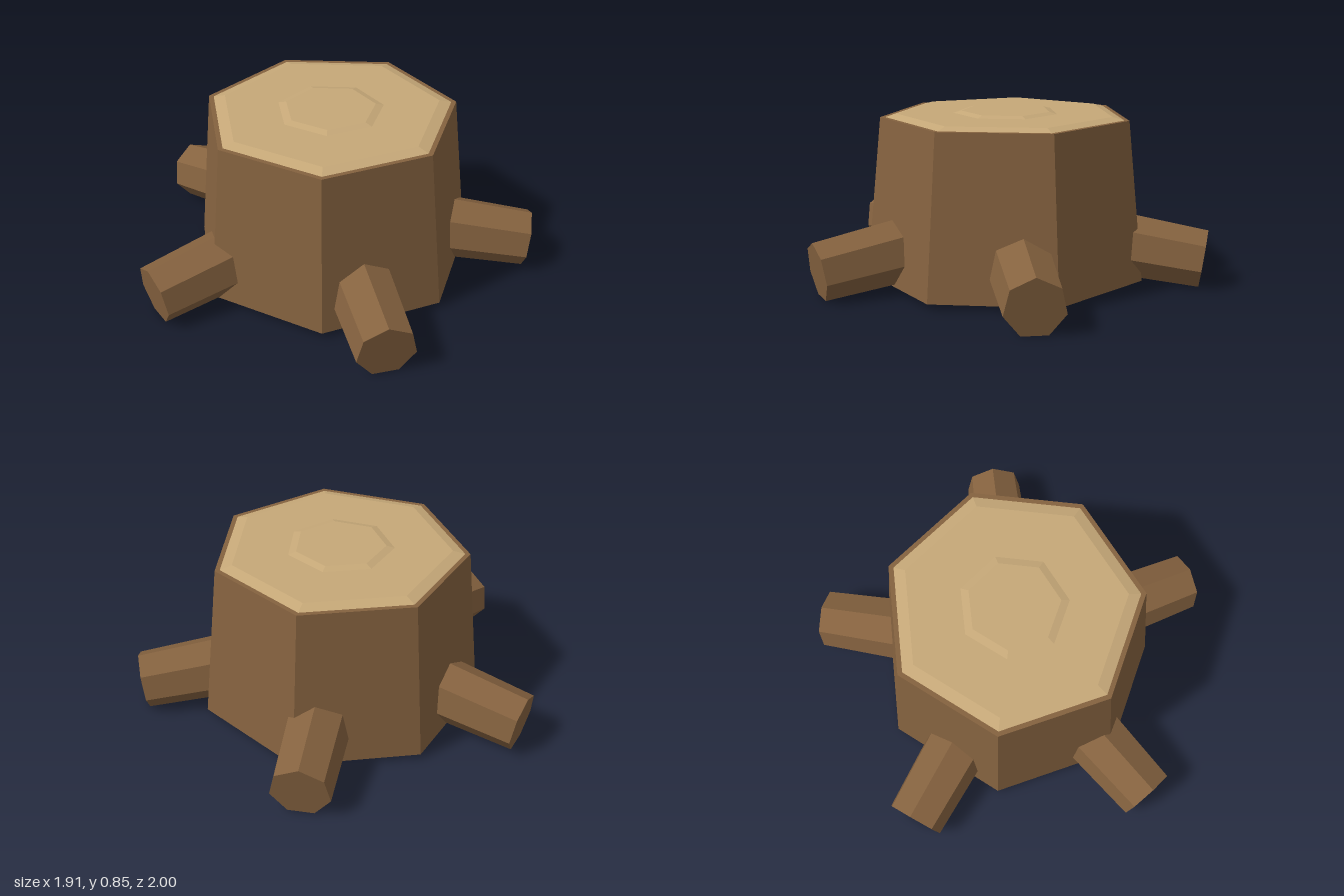
import * as THREE from 'three';

const SIDES = 7;

// Seven-sided tapered block standing between two heights
function frustum(name, rBottom, rTop, y0, y1, material) {
  const geometry = new THREE.CylinderGeometry(rTop, rBottom, y1 - y0, SIDES).toNonIndexed();
  geometry.computeVertexNormals();
  const mesh = new THREE.Mesh(geometry, material);
  mesh.name = name;
  mesh.position.y = (y0 + y1) / 2;
  return mesh;
}

export function createModel() {
  const bark = new THREE.MeshStandardMaterial({ color: 0x85623f });
  bark.name = 'bark brown';
  const wood = new THREE.MeshStandardMaterial({ color: 0xc6a878 });
  wood.name = 'cut wood tan';

  const model = new THREE.Group();
  model.name = 'treeStump';
  const stump = new THREE.Group();
  stump.name = 'stump';
  stump.position.x = -0.07;
  model.add(stump);

  // Trunk, cut face and raised growth ring
  stump.add(frustum('trunk', 0.71, 0.63, 0.03, 0.83, bark));
  stump.add(frustum('cutFace', 0.605, 0.545, 0.83, 0.845, wood));
  stump.add(frustum('growthRing', 0.265, 0.225, 0.845, 0.855, wood));

  // Five roots, tapering and sloping down outwards
  const length = 0.6;
  const rootGeometry = new THREE.CylinderGeometry(0.146, 0.166, length, SIDES, 1, false, -Math.PI / 2)
    .translate(0, -length / 2, 0)
    .rotateZ(-Math.PI / 2 - 0.14)
    .translate(1.0, 0.135, 0)
    .toNonIndexed();
  rootGeometry.computeVertexNormals();
  for (let i = 0; i < 5; i++) {
    const root = new THREE.Mesh(rootGeometry, bark);
    root.name = `root${i + 1}`;
    root.rotation.y = (i * Math.PI * 2) / 5;
    stump.add(root);
  }

  return model;
}
